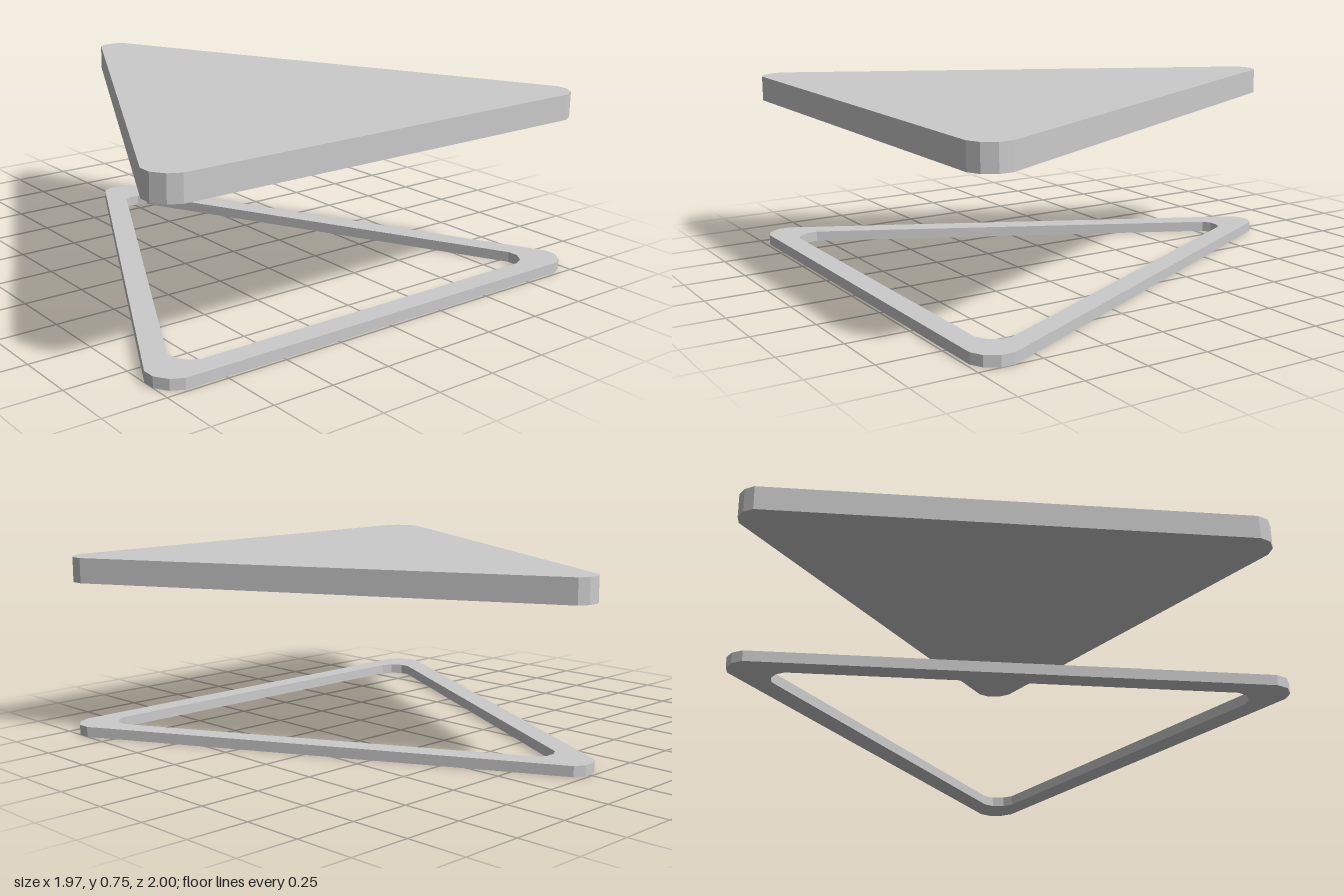
import * as THREE from 'three';

// Half of the triangular outline (x, z), from the apex to the wide side
const half = [
  [-0.987, 0.024], [-0.963, 0.065], [0.86, 1], [0.913, 1], [0.963, 0.966], [0.987, 0.917],
];
const outline = [...half, ...half.map(([x, z]) => [x, -z]).reverse()]
  .map(([x, z]) => new THREE.Vector2(x, z));

// Outline shrunk about the triangle's incentre, for an even frame width
const centre = new THREE.Vector2(0.334, 0);
const inset = (s) => outline.map((p) => p.clone().sub(centre).multiplyScalar(s).add(centre));

// Horizontal slab with its upper face at y = top
function slab(name, shape, top, thickness) {
  const geometry = new THREE.ExtrudeGeometry(shape, { depth: thickness, bevelEnabled: false });
  geometry.rotateX(Math.PI / 2).translate(0, top, 0);
  const material = new THREE.MeshStandardMaterial({ color: 0xcccccc, flatShading: true });
  const mesh = new THREE.Mesh(geometry, material);
  mesh.name = name;
  return mesh;
}

export function createModel() {
  const group = new THREE.Group();
  group.name = 'triangularTable';

  // Solid upper plate
  group.add(slab('topPlate', new THREE.Shape(outline), 0.753, 0.104));

  // Open frame on the ground; the hole runs opposite to the outline so its walls face inward
  const frame = new THREE.Shape(outline);
  frame.holes.push(new THREE.Path(inset(0.86).reverse()));
  group.add(slab('baseFrame', frame, 0.043, 0.043));

  return group;
}
